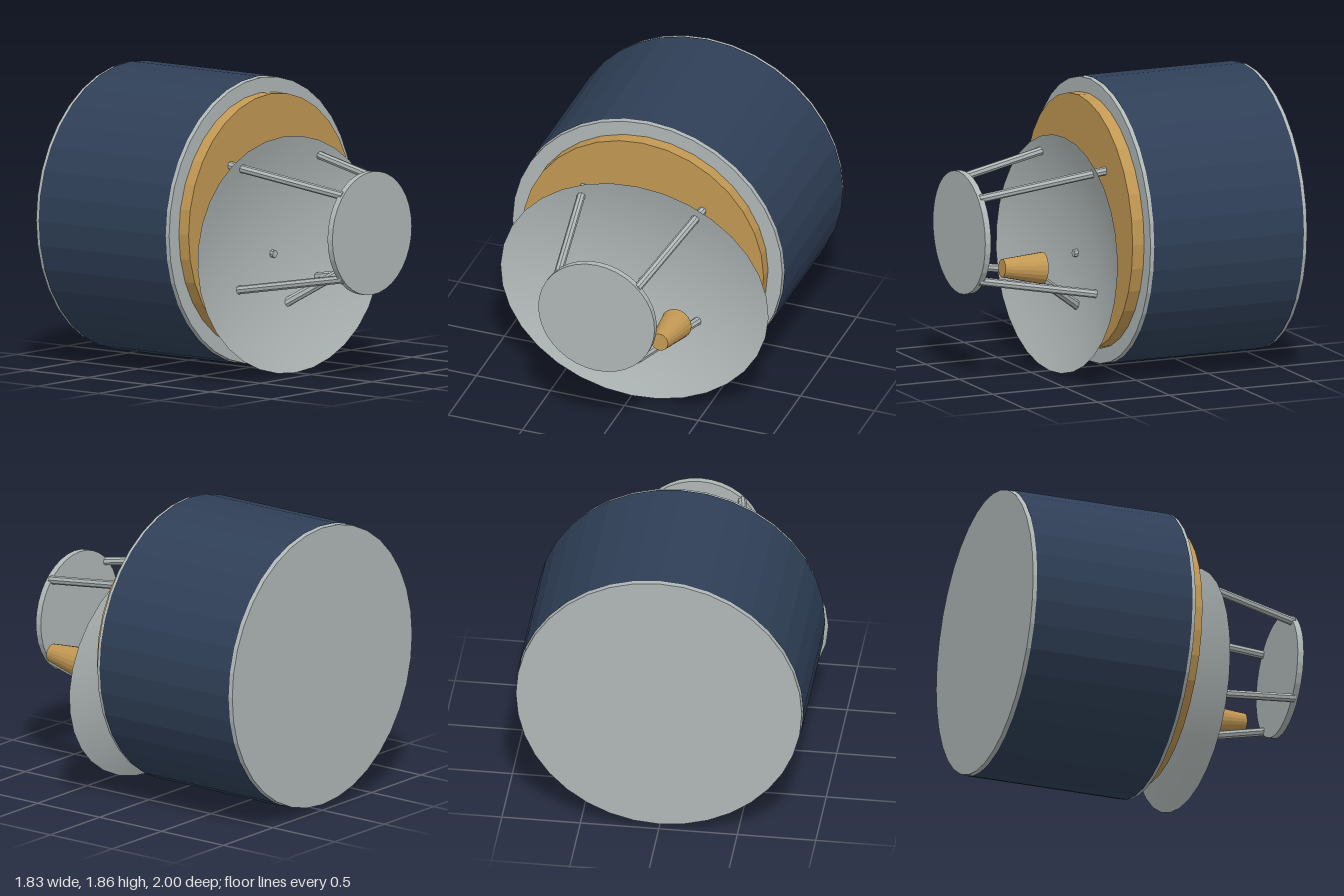
import * as THREE from 'three';

const silver = new THREE.MeshStandardMaterial({ color: 0xb0b8b7, side: THREE.DoubleSide });
silver.name = 'silver';
const gold = new THREE.MeshStandardMaterial({ color: 0xc29853 });
gold.name = 'gold';
const navy = new THREE.MeshStandardMaterial({ color: 0x2f3f57 });
navy.name = 'navy';

const AXIS_Y = 0.95; // height of the body axis

// Faceted cylinder or cone running from point a to point b
function rod(name, a, b, rA, rB, sides, material, open = false) {
  const from = new THREE.Vector3(...a);
  const to = new THREE.Vector3(...b);
  const dir = to.clone().sub(from);
  const geo = new THREE.CylinderGeometry(rB, rA, dir.length(), sides, 1, open).toNonIndexed();
  geo.computeVertexNormals();
  const mesh = new THREE.Mesh(geo, material);
  mesh.name = name;
  mesh.quaternion.setFromUnitVectors(new THREE.Vector3(0, 1, 0), dir.normalize());
  mesh.position.copy(from).add(to).multiplyScalar(0.5);
  return mesh;
}

// Disc or drum on the body axis
function drum(name, z0, z1, radius, sides, material, open) {
  return rod(name, [0, AXIS_Y, z0], [0, AXIS_Y, z1], radius, radius, sides, material, open);
}

// Shallow elliptical bowl, opening to the front and tipped slightly upwards
function dish() {
  const profile = [];
  for (let i = 0; i <= 10; i++) {
    const r = i / 10;
    profile.push(new THREE.Vector2(r, 0.14 * r * r));
  }
  const geo = new THREE.LatheGeometry(profile, 32);
  geo.rotateX(Math.PI / 2);
  geo.scale(0.905, 0.75, 1);
  geo.rotateX(-0.07);
  const mesh = new THREE.Mesh(geo, silver);
  mesh.name = 'dish';
  mesh.position.set(0, 0.741, 0.18);
  return mesh;
}

export function createModel() {
  const model = new THREE.Group();
  model.name = 'antennaModule';

  // Body: silver drum with a navy wrap, and the gold mounting plate
  model.add(
    drum('bodyDrum', -1, 0.09, 0.911, 36, silver),
    drum('bodyWrap', -0.975, 0.067, 0.917, 36, navy, true),
    drum('mountingPlate', 0.08, 0.17, 0.815, 32, gold),
  );

  // Dish with its centre pin
  model.add(dish());
  model.add(rod('dishPin', [0, 0.745, 0.15], [0, 0.745, 0.205], 0.025, 0.025, 8, silver));

  // Round front plate on four converging struts
  model.add(drum('frontPlate', 0.96, 1, 0.393, 36, silver));
  for (const sx of [-1, 1]) {
    for (const sy of [-1, 1]) {
      model.add(rod('strut',
        [sx * 0.405, AXIS_Y + sy * 0.405, 0.14],
        [sx * 0.265, AXIS_Y + sy * 0.265, 0.98],
        0.027, 0.027, 8, silver));
    }
  }

  // Feed horn on its slanted arm
  model.add(
    rod('hornArm', [0.025, 0.345, 0.1], [0.355, 0.72, 0.65], 0.03, 0.03, 8, silver),
    rod('feedHorn', [0.39, 0.76, 0.602], [0.38, 0.782, 0.878], 0.103, 0.058, 20, gold),
  );

  return model;
}
